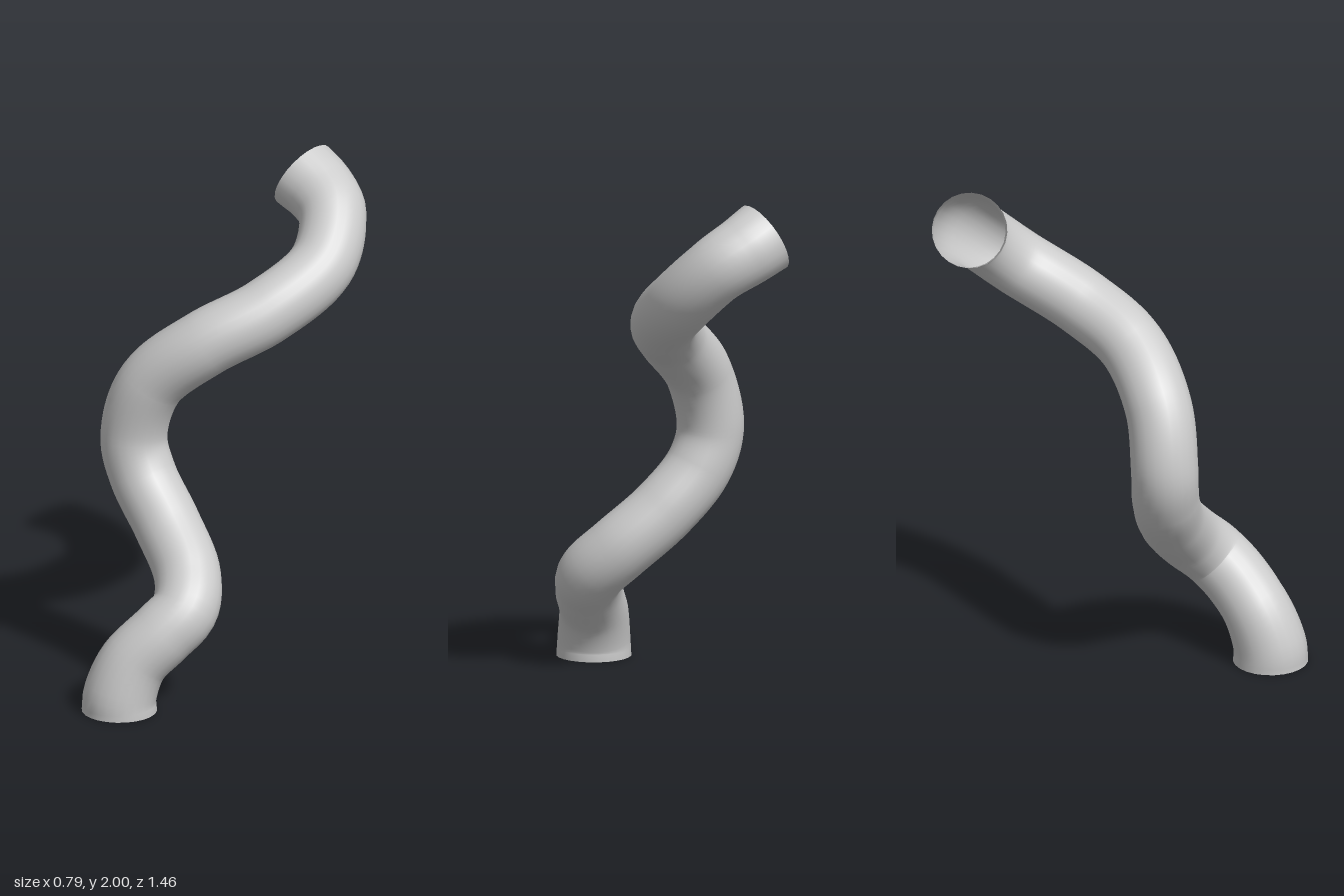
import * as THREE from 'three';

// Winding centre line of the pipe, from the floor up
const PATH = [
  [-0.035, 0, 0.585], [-0.034, 0.06, 0.583], [0.0, 0.19, 0.54], [0.085, 0.305, 0.46],
  [0.13, 0.385, 0.38], [0.075, 0.49, 0.28], [-0.08, 0.64, 0.195], [-0.22, 0.8, 0.155],
  [-0.27, 0.95, 0.146], [-0.2, 1.18, 0.13], [-0.005, 1.36, 0.045], [0.165, 1.475, -0.13],
  [0.26, 1.615, -0.37], [0.2, 1.765, -0.53], [0.11, 1.827, -0.575], [0.022, 1.873, -0.585],
];
const STEPS = 110, SIDES = 24, RADIUS = 0.131, FLARE = 0.016;

export function createModel() {
  const group = new THREE.Group();
  group.name = 'windingPipe';

  const curve = new THREE.CatmullRomCurve3(PATH.map(p => new THREE.Vector3(...p)));
  const geometry = new THREE.TubeGeometry(curve, STEPS, RADIUS, SIDES);

  // Flare both open ends slightly and keep the foot flat on the floor
  const pos = geometry.attributes.position, nor = geometry.attributes.normal;
  const p = new THREE.Vector3(), n = new THREE.Vector3();
  for (let i = 0; i < pos.count; i++) {
    const t = Math.floor(i / (SIDES + 1)) / STEPS;
    const toEnd = Math.min(t, 1 - t);
    n.fromBufferAttribute(nor, i);
    p.fromBufferAttribute(pos, i).addScaledVector(n, FLARE * Math.max(0, 1 - toEnd / 0.09));
    if (t === 0) p.y = 0;
    pos.setXYZ(i, p.x, p.y, p.z);
  }

  // Open tube, visible inside and out
  const pipe = new THREE.Mesh(geometry,
    new THREE.MeshStandardMaterial({ color: 0xcccccc, side: THREE.DoubleSide }));
  pipe.name = 'pipe';
  group.add(pipe);
  return group;
}
